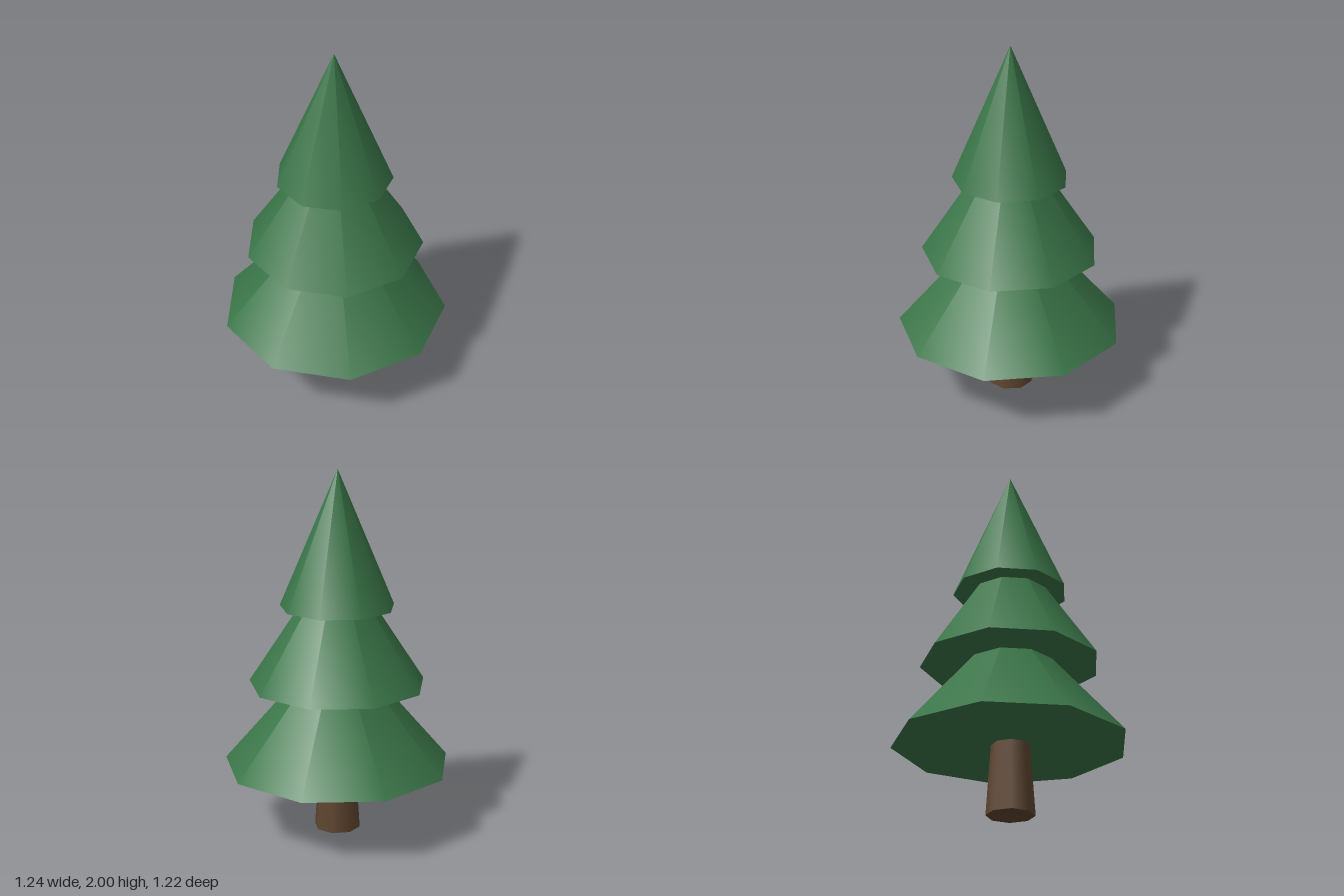
import * as THREE from 'three';

export function createModel() {
  const tree = new THREE.Group();
  tree.name = 'pineTree';

  const needles = new THREE.MeshStandardMaterial({ color: 0x3a7548 });
  needles.name = 'needleGreen';
  const bark = new THREE.MeshStandardMaterial({ color: 0x5e442f });
  bark.name = 'barkBrown';

  const axisZ = 0.018; // nine-sided tiers sit slightly off the depth centre

  // Tapered eight-sided trunk, ending just inside the lowest tier
  const trunkHeight = 0.4;
  const trunk = new THREE.Mesh(new THREE.CylinderGeometry(0.101, 0.128, trunkHeight, 8), bark);
  trunk.name = 'trunk';
  trunk.position.set(0, trunkHeight / 2, axisZ);
  tree.add(trunk);

  // Stacked foliage cones: name, radius, base height, tip height
  const tiers = [
    ['lowerFoliage', 0.628, 0.377, 1.11],
    ['middleFoliage', 0.487, 0.833, 1.575],
    ['topFoliage', 0.314, 1.262, 2.0],
  ];
  for (const [name, radius, base, tip] of tiers) {
    const cone = new THREE.Mesh(new THREE.ConeGeometry(radius, tip - base, 9), needles);
    cone.name = name;
    cone.position.set(0, (base + tip) / 2, axisZ);
    cone.rotation.y = Math.PI; // one corner points to the back
    tree.add(cone);
  }

  return tree;
}
